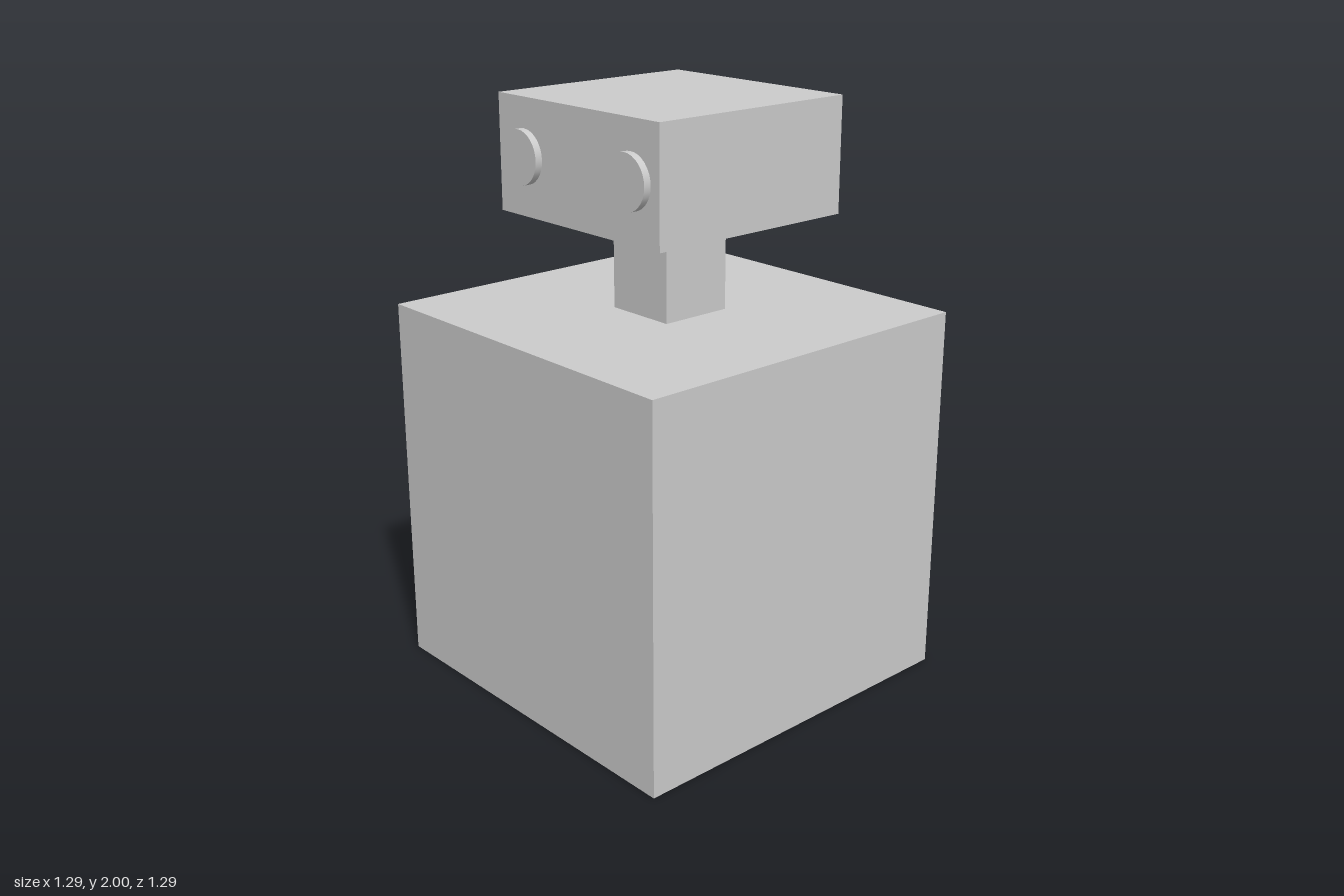
import * as THREE from 'three';

export function createModel() {
  const model = new THREE.Group();
  const material = new THREE.MeshStandardMaterial({ color: 0xcccccc });

  const add = (name, geometry, x, y, z) => {
    const mesh = new THREE.Mesh(geometry, material);
    mesh.name = name;
    mesh.position.set(x, y, z);
    model.add(mesh);
  };

  // Box standing on a given height, centred on the vertical axis
  const addBlock = (name, width, bottom, top) =>
    add(name, new THREE.BoxGeometry(width, top - bottom, width), 0, (bottom + top) / 2, 0);

  addBlock('body', 1.29, 0, 1.29);
  addBlock('neck', 0.26, 1.29, 1.616);
  addBlock('head', 0.774, 1.616, 2);

  // Round eyes standing slightly proud of the face
  const eye = new THREE.CylinderGeometry(0.09, 0.09, 0.05, 32).rotateX(Math.PI / 2);
  add('leftEye', eye, 0.258, 1.81, 0.387);
  add('rightEye', eye, -0.258, 1.81, 0.387);

  return model;
}
